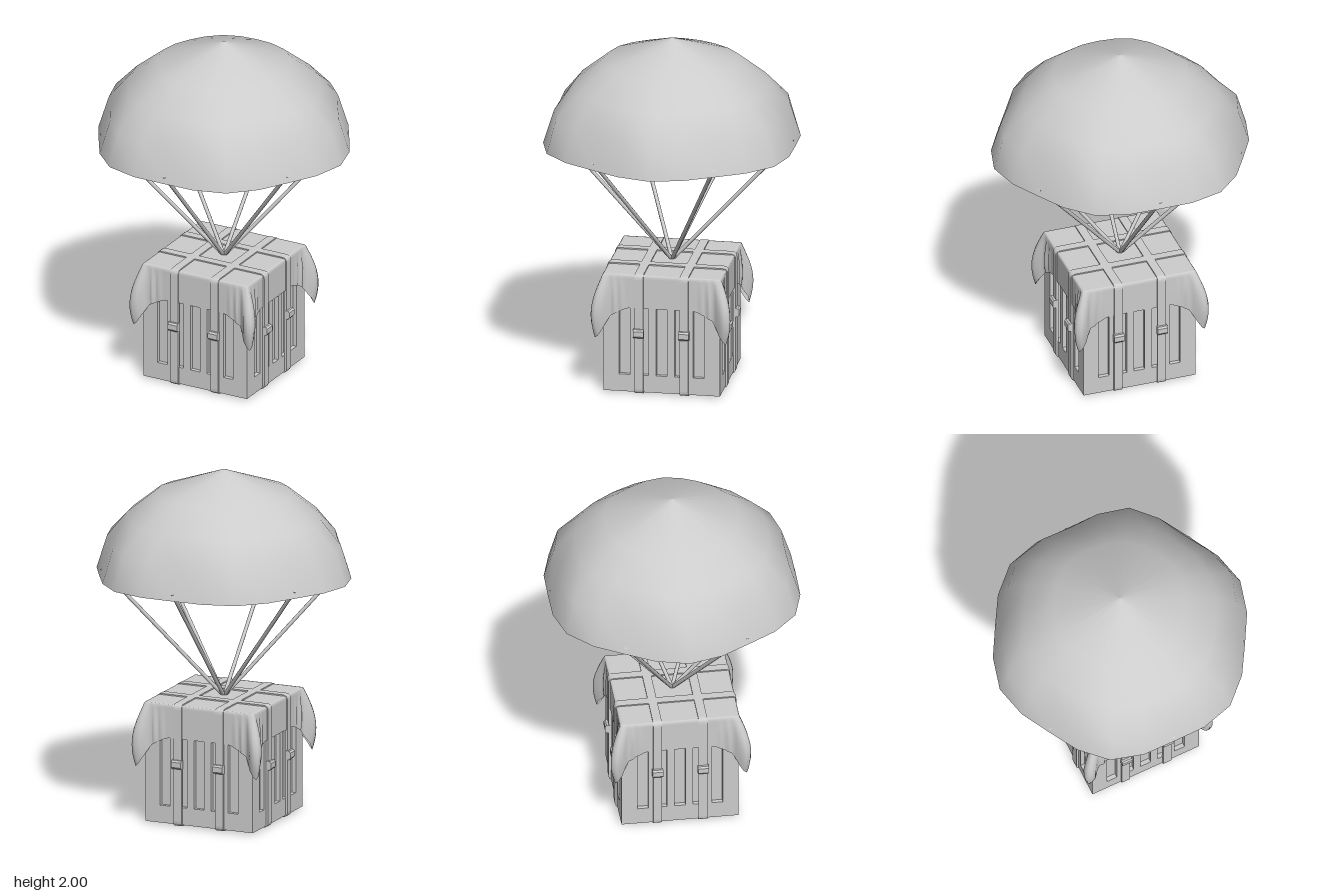
import * as THREE from 'three';

const canvas = new THREE.MeshStandardMaterial({ color: 0xcccccc, side: THREE.DoubleSide });
canvas.name = 'light grey';

// Smooth closed surface made of rings of n points, listed from the top down
function ringSurface(rows, n, point) {
  const positions = [], index = [];
  for (let j = 0; j < rows; j++) {
    for (let i = 0; i < n; i++) positions.push(...point(j, i));
  }
  for (let j = 0; j < rows - 1; j++) {
    for (let i = 0; i < n; i++) {
      const a = j * n + i, b = j * n + (i + 1) % n;
      index.push(a, b, a + n, b, b + n, a + n);
    }
  }
  const geometry = new THREE.BufferGeometry();
  geometry.setAttribute('position', new THREE.Float32BufferAttribute(positions, 3));
  geometry.setIndex(index);
  geometry.computeVertexNormals();
  return geometry;
}

function rectPath(x0, y0, x1, y1, r = 0, Type = THREE.Path) {
  const p = new Type();
  if (!r) {
    return p.moveTo(x0, y0).lineTo(x1, y0).lineTo(x1, y1).lineTo(x0, y1).lineTo(x0, y0);
  }
  p.moveTo(x0 + r, y0).lineTo(x1 - r, y0).quadraticCurveTo(x1, y0, x1, y0 + r);
  p.lineTo(x1, y1 - r).quadraticCurveTo(x1, y1, x1 - r, y1);
  p.lineTo(x0 + r, y1).quadraticCurveTo(x0, y1, x0, y1 - r);
  return p.lineTo(x0, y0 + r).quadraticCurveTo(x0, y0, x0 + r, y0);
}

// Canopy: rounded hexagon sections, [y, radius at corner, radius at mid-side]
function canopyGeometry() {
  const rows = [[2, 0, 0], [1.865, 0.385, 0.375], [1.73, 0.555, 0.54], [1.59, 0.69, 0.635], [1.4, 0.745, 0.7]];
  return ringSurface(rows.length, 24, (j, i) => {
    const a = i * Math.PI / 12;
    const [y, corner, mid] = rows[j];
    const r = mid + (corner - mid) * (1 + Math.cos(6 * a)) / 2;
    return [r * Math.cos(a), y, r * Math.sin(a)];
  });
}

// Cloth: flat on the lid, short along the sides, hanging in folds at the corners
function clothGeometry() {
  const seg = 56, half = 0.336, top = 0.698, down = 14;
  const inset = [0, 0.5, 0.95, 0.985];
  return ringSurface(inset.length + down + 1, seg * 4, (j, i) => {
    const u = -1 + 2 * (i % seg) / seg, m = Math.abs(u);
    const turn = Math.floor(i / seg) * Math.PI / 2;
    let x, y, z;
    if (j < inset.length) {
      x = half * inset[j];
      z = x * u;
      y = top;
    } else {
      const v = (j - inset.length) / down;
      const near = THREE.MathUtils.smoothstep(m, 0.5, 1);
      const tip = THREE.MathUtils.smoothstep(m, 0.84, 1);
      const fold = 0.026 * near * Math.sin((1 - m) * 24) ** 2;
      const swell = Math.sin(v * 2.4);
      x = half + swell * (0.052 * tip + fold);
      z = u * (half + swell * 0.052 * tip);
      y = top - 0.007 - v * (0.185 + 0.06 * near + 0.115 * tip);
    }
    const c = Math.cos(turn), s = Math.sin(turn);
    return [x * c - z * s, y, x * s + z * c];
  });
}

// Crate wall with five upright slots
function wallGeometry() {
  const shape = rectPath(-0.33, 0.01, 0.33, 0.69, 0, THREE.Shape);
  for (let k = -2; k <= 2; k++) {
    shape.holes.push(rectPath(k * 0.105 - 0.031, 0.11, k * 0.105 + 0.031, 0.59));
  }
  return new THREE.ExtrudeGeometry(shape, { depth: 0.025, bevelEnabled: false });
}

// Strap: a flat band around the whole crate
function strapGeometry() {
  const shape = rectPath(-0.343, 0, 0.343, 0.705, 0.03, THREE.Shape);
  shape.holes.push(rectPath(-0.328, 0.012, 0.328, 0.688, 0.01));
  return new THREE.ExtrudeGeometry(shape, { depth: 0.05, bevelEnabled: false, curveSegments: 4 })
    .translate(0, 0, -0.025);
}

// Buckle: small pad with chamfered top and bottom
function buckleGeometry() {
  const s = new THREE.Shape();
  s.moveTo(0, -0.025).lineTo(0.02, -0.025).lineTo(0.028, -0.015);
  s.lineTo(0.028, 0.015).lineTo(0.02, 0.025).lineTo(0, 0.025);
  return new THREE.ExtrudeGeometry(s, { depth: 0.06, bevelEnabled: false })
    .translate(0, 0, -0.03).rotateY(-Math.PI / 2);
}

export function createModel() {
  const model = new THREE.Group();
  model.name = 'parachuteCrate';
  const add = (parent, name, geometry) => {
    const mesh = new THREE.Mesh(geometry, canvas);
    mesh.name = name;
    parent.add(mesh);
    return mesh;
  };

  add(model, 'canopy', canopyGeometry());

  // Six ropes from the lid to the middle of each canopy side
  const base = new THREE.Vector3(0, 0.69, 0);
  for (let k = 0; k < 6; k++) {
    const a = Math.PI / 6 + k * Math.PI / 3;
    const end = new THREE.Vector3(0.685 * Math.cos(a), 1.44, 0.685 * Math.sin(a));
    const dir = end.clone().sub(base);
    const rope = add(model, 'rope', new THREE.CylinderGeometry(0.011, 0.011, dir.length(), 8));
    rope.position.copy(base).add(end).multiplyScalar(0.5);
    rope.quaternion.setFromUnitVectors(new THREE.Vector3(0, 1, 0), dir.normalize());
  }

  // Crate core, walls and buckles
  const crate = new THREE.Group();
  crate.name = 'crate';
  model.add(crate);
  add(crate, 'core', new THREE.BoxGeometry(0.612, 0.68, 0.612)).position.y = 0.35;
  const wall = wallGeometry(), strap = strapGeometry(), buckle = buckleGeometry();
  for (let k = 0; k < 4; k++) {
    const side = new THREE.Group();
    side.name = 'crateSide';
    side.rotation.y = k * Math.PI / 2;
    crate.add(side);
    add(side, 'wall', wall).position.z = 0.305;
    for (const x of [-0.128, 0.128]) {
      add(side, 'buckle', buckle).position.set(x, 0.36, 0.335);
    }
  }

  // Two straps each way
  for (const offset of [-0.128, 0.128]) {
    add(crate, 'strapAcross', strap).position.z = offset;
    const along = add(crate, 'strapAlong', strap);
    along.rotation.y = Math.PI / 2;
    along.position.x = offset;
  }

  add(model, 'cloth', clothGeometry());
  return model;
}
